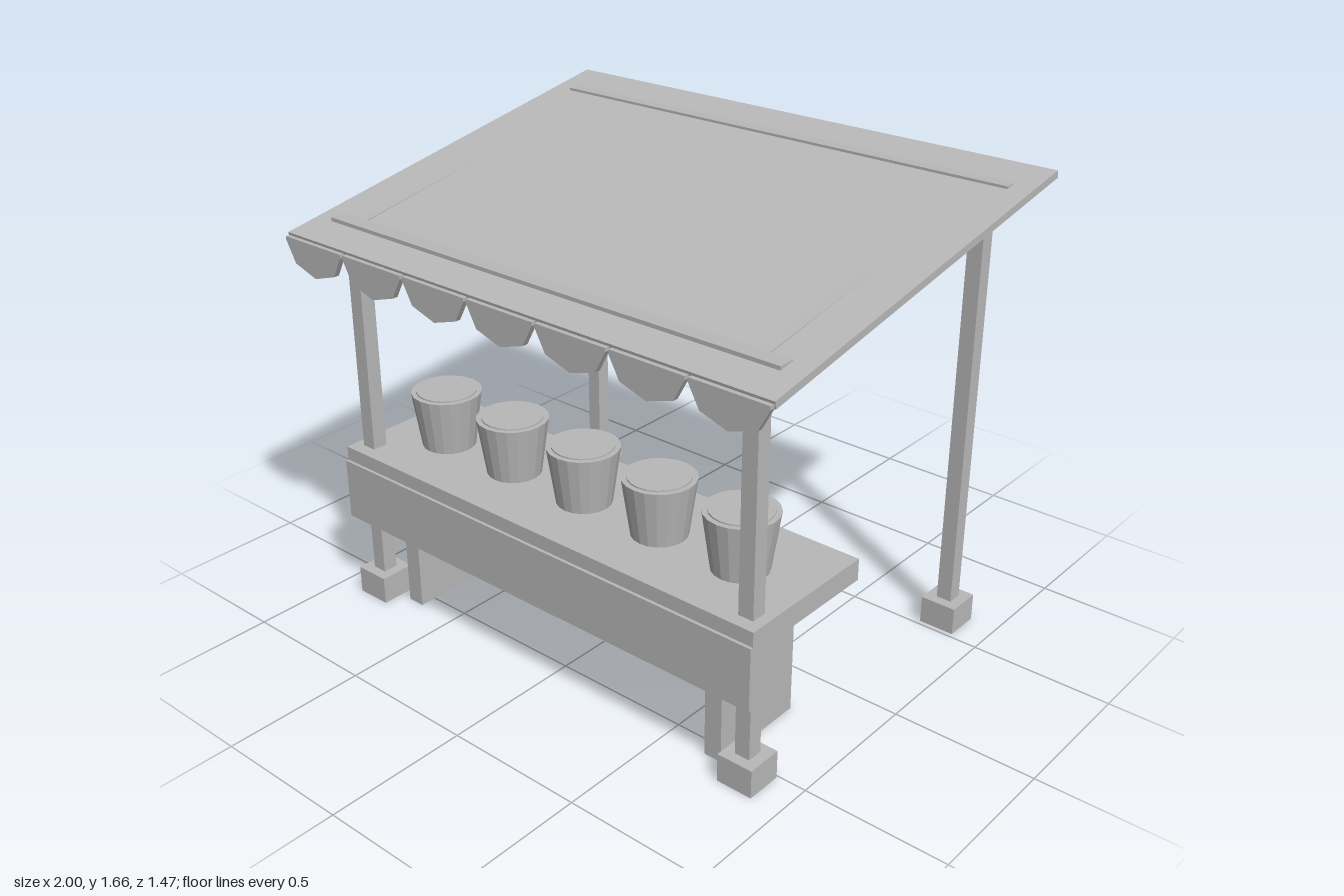
import * as THREE from 'three';

export function createModel() {
  const group = new THREE.Group();
  const gray = new THREE.MeshStandardMaterial({ color: 0xb8b8b8, flatShading: true });
  gray.name = 'plain gray';

  const add = (name, geometry, x = 0, y = 0, z = 0) => {
    const mesh = new THREE.Mesh(geometry, gray);
    mesh.name = name;
    mesh.position.set(x, y, z);
    group.add(mesh);
    return mesh;
  };
  // Box given by its lower and upper corners
  const box = (name, [x0, y0, z0], [x1, y1, z1]) =>
    add(name, new THREE.BoxGeometry(x1 - x0, y1 - y0, z1 - z0),
      (x0 + x1) / 2, (y0 + y1) / 2, (z0 + z1) / 2);
  // Slab running between two (z, y) points, tilted about x
  const slab = (name, x, width, thickness, [z0, y0], [z1, y1]) => {
    const mesh = add(name, new THREE.BoxGeometry(width, thickness, Math.hypot(z1 - z0, y1 - y0)),
      x, (y0 + y1) / 2, (z0 + z1) / 2);
    mesh.rotation.x = Math.atan2(y1 - y0, z0 - z1);
  };

  // Sloped roof
  slab('roof', 0, 2, 0.025, [0.72, 1.373], [-0.735, 1.643]);

  // Posts, feet and cross beams, front and back
  for (const [z, top] of [[0.572, 1.395], [-0.583, 1.605]]) {
    box('crossBeam', [-0.925, top - 0.026, z - 0.028], [0.925, top + 0.026, z + 0.028]);
    for (const s of [-1, 1]) {
      add('post', new THREE.BoxGeometry(0.055, top, 0.055), s * 0.832, top / 2, z);
      add('foot', new THREE.BoxGeometry(0.13, 0.1, 0.13), s * 0.832, 0.05, z);
    }
  }

  // Side rafters and counter legs
  for (const s of [-1, 1]) {
    slab('rafter', s * 0.83, 0.04, 0.04, [0.57, 1.397], [-0.585, 1.603]);
    add('counterLeg', new THREE.BoxGeometry(0.065, 0.522, 0.365), s * 0.688, 0.261, 0.378);
  }

  // Counter with front apron
  box('counterTop', [-0.895, 0.52, 0.112], [0.895, 0.596, 0.645]);
  box('counterApron', [-0.895, 0.325, 0.62], [0.895, 0.545, 0.656]);

  // Scalloped valance along the front edge
  const scallop = new THREE.Shape();
  scallop.moveTo(-0.138, 0.012);
  for (let i = 0; i <= 4; i++) {
    const a = Math.PI * (1 + i / 4);
    scallop.lineTo(0.138 * Math.cos(a), 0.105 * Math.sin(a));
  }
  scallop.lineTo(0.138, 0.012);
  const scallopGeometry = new THREE.ExtrudeGeometry(scallop, { depth: 0.02, bevelEnabled: false });
  for (let i = -3; i <= 3; i++) add('valanceScallop', scallopGeometry, i * 0.286, 1.364, 0.716);

  // Row of tapered tubs with filled tops
  const tub = new THREE.CylinderGeometry(0.123, 0.094, 0.202, 20);
  const fill = new THREE.CylinderGeometry(0.105, 0.105, 0.01, 20);
  for (let i = -2; i <= 2; i++) {
    add('tub', tub, i * 0.324, 0.697, 0.388);
    add('tubFill', fill, i * 0.324, 0.798, 0.388);
  }
  return group;
}
